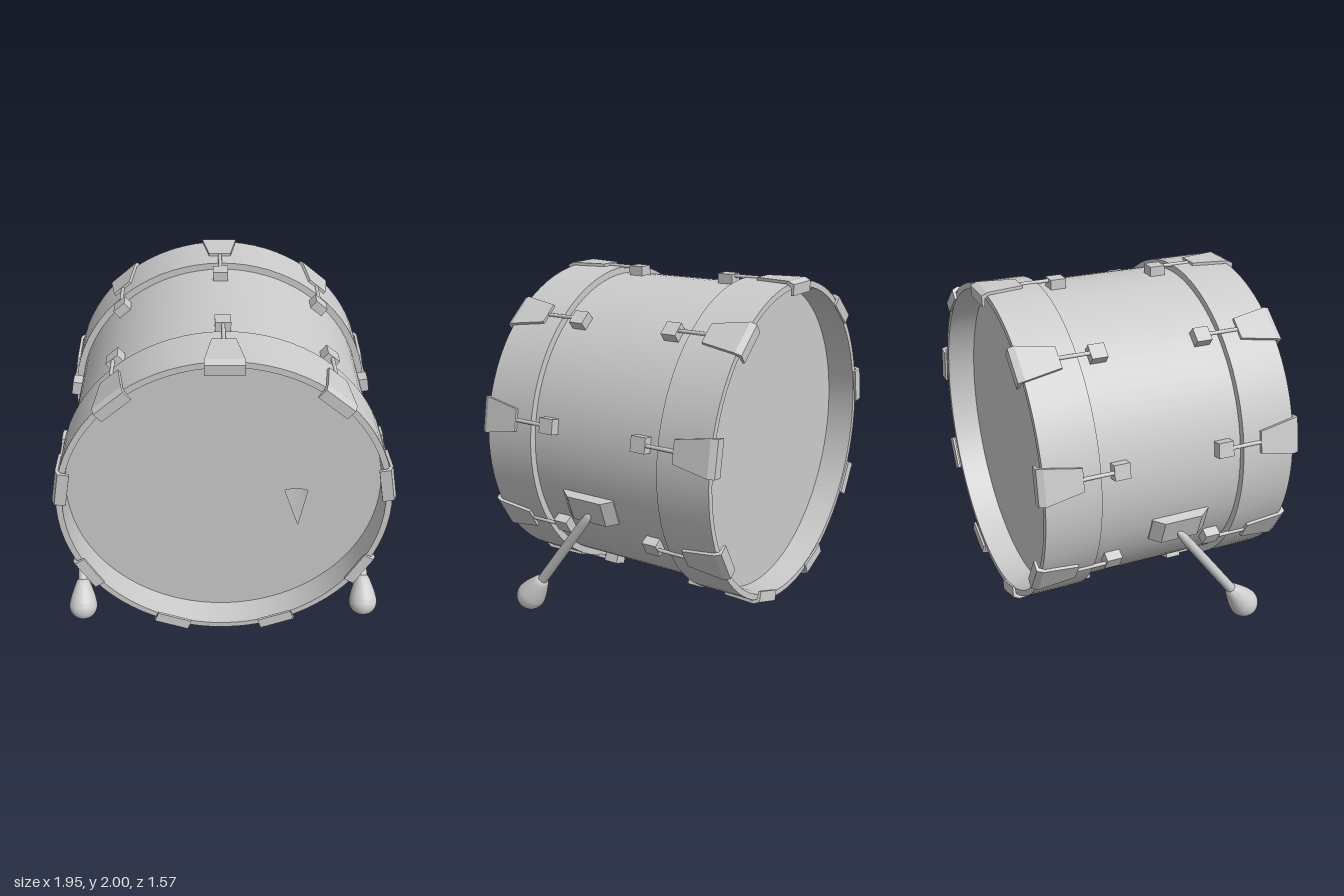
import * as THREE from 'three';
import { toCreasedNormals } from 'three/addons/utils/BufferGeometryUtils.js';

const grey = new THREE.MeshStandardMaterial({ color: 0xcccccc });
const thin = new THREE.MeshStandardMaterial({ color: 0xcccccc, side: THREE.DoubleSide });
const CENTRE_Y = 1.045, SHELL_R = 0.9, HEAD_Z = 0.58, SEGMENTS = 80;
const deg = THREE.MathUtils.degToRad;

function add(parent, name, geometry, material = grey) {
  const mesh = new THREE.Mesh(geometry, material);
  mesh.name = name;
  parent.add(mesh);
  return mesh;
}

const vectors = (points) => points.map(([x, y]) => new THREE.Vector2(x, y));

// Extrudes a (z, radius) profile sideways, centred on x = 0
function sideways(profile, width) {
  const g = new THREE.ExtrudeGeometry(new THREE.Shape(vectors(profile)), { depth: width, bevelEnabled: false });
  return g.translate(0, 0, -width / 2).rotateY(-Math.PI / 2);
}

// Hooked claw plate, narrowing away from the rim
function clawGeometry() {
  const g = sideways([
    [0.535, 0.938], [0.74, 0.938], [0.765, 0.922], [0.768, 0.875],
    [0.782, 0.875], [0.785, 0.938], [0.75, 0.955], [0.535, 0.955],
  ], 0.21);
  const p = g.attributes.position;
  for (let i = 0; i < p.count; i++) {
    const t = THREE.MathUtils.clamp((p.getZ(i) - 0.535) / 0.215, 0, 1);
    p.setX(i, p.getX(i) * (0.62 + 0.38 * t));
  }
  g.computeVertexNormals();
  return g;
}

// Claw, tension rod and lug block at the top of the rim
function addTensioner(parent, claw, angle) {
  const group = new THREE.Group();
  group.name = 'tensioner';
  group.rotation.z = angle;
  add(group, 'claw', claw);
  add(group, 'tensionRod', new THREE.CylinderGeometry(0.011, 0.011, 0.24, 12).rotateX(Math.PI / 2).translate(0, 0.942, 0.45));
  add(group, 'lugBlock', new THREE.BoxGeometry(0.088, 0.06, 0.092).translate(0, 0.925, 0.313));
  parent.add(group);
}

// One end of the drum: hoop, head and nine tensioners
function drumEnd(name, claw, hasPort) {
  const end = new THREE.Group();
  end.name = name;
  const hoop = new THREE.LatheGeometry(vectors([[0.94, 0.43], [0.94, 0.75], [0.905, 0.75], [0.9, 0.43], [0.94, 0.43]]), SEGMENTS);
  add(end, 'hoop', toCreasedNormals(hoop.rotateX(Math.PI / 2), deg(30)));

  const disc = new THREE.Shape().absarc(0, 0, 0.905, 0, Math.PI * 2);
  if (hasPort) {
    // Wedge-shaped opening in the head
    disc.holes.push(new THREE.Path(vectors([[0.437, -0.272], [0.352, -0.018], [0.4, -0.007], [0.445, -0.01], [0.485, -0.022]])));
  }
  add(end, 'head', new THREE.ShapeGeometry(disc, SEGMENTS / 2).translate(0, 0, HEAD_Z), thin);

  for (let i = 0; i < 9; i++) addTensioner(end, claw, deg(40 * i));
  return end;
}

// Angled spur leg with a teardrop foot and its bracket on the shell
function addSpur(parent, side) {
  const name = side > 0 ? 'left' : 'right';
  const bracket = add(parent, name + 'Bracket', sideways([[-0.1, 0.88], [0.25, 0.88], [0.25, 0.905], [0.19, 0.95], [-0.04, 0.95], [-0.1, 0.905]], 0.16));
  bracket.position.y = CENTRE_Y;
  bracket.rotation.z = -side * deg(109);

  const leg = new THREE.Group();
  leg.name = name + 'Leg';
  leg.position.set(side * 0.885, 0.092, 0.53);
  leg.quaternion.setFromUnitVectors(new THREE.Vector3(0, 1, 0), new THREE.Vector3(0, 0.8, -0.6).normalize());
  add(leg, 'rod', new THREE.LatheGeometry(vectors([[0.03, 0.1], [0.029, 0.45], [0.027, 0.7], [0.021, 0.76], [0.01, 0.785], [0, 0.79]]), 24));

  const foot = [];
  for (let i = 0; i <= 10; i++) {
    const a = -Math.PI / 2 + (i / 10) * deg(105);
    foot.push([0.088 * Math.cos(a), 0.088 * Math.sin(a)]);
  }
  foot.push([0.076, 0.06], [0.062, 0.1], [0.048, 0.138], [0.038, 0.158], [0.028, 0.165], [0, 0.165]);
  add(leg, 'foot', toCreasedNormals(new THREE.LatheGeometry(vectors(foot), 32), deg(40)));
  parent.add(leg);
}

export function createModel() {
  const model = new THREE.Group();
  model.name = 'bassDrum';

  const drum = new THREE.Group();
  drum.name = 'drum';
  drum.position.y = CENTRE_Y;
  model.add(drum);

  add(drum, 'shell', new THREE.CylinderGeometry(SHELL_R, SHELL_R, HEAD_Z * 2, SEGMENTS, 1, true).rotateX(Math.PI / 2), thin);
  const claw = clawGeometry();
  drum.add(drumEnd('frontEnd', claw, true));
  const back = drumEnd('backEnd', claw, false);
  back.rotation.y = Math.PI;
  drum.add(back);

  for (const side of [-1, 1]) addSpur(model, side);
  return model;
}
